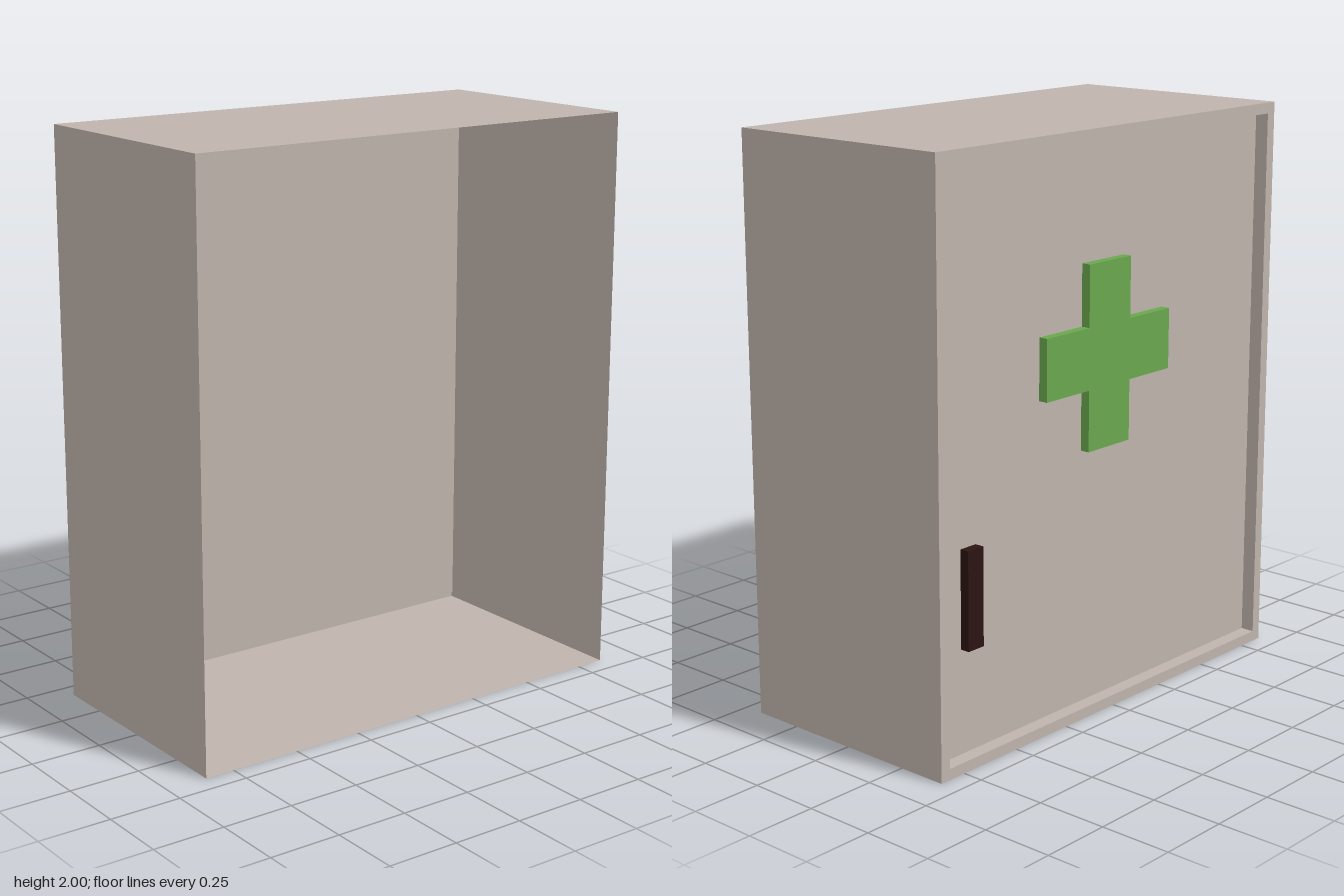
import * as THREE from 'three';

const W = 0.855, H = 2, D = 1.71;   // x, y and z size of the cabinet
const LIP = 0.038;                  // width of the rim round the door
const RECESS = 0.05;                // how far the door sits behind the rim
const FACE = -W / 2;                // x of the rim
const DOOR = FACE + RECESS;         // x of the door

export function createModel() {
  const model = new THREE.Group();
  model.name = 'medicineCabinet';

  const paint = (name, color, side = THREE.FrontSide) => {
    const m = new THREE.MeshStandardMaterial({ color, side });
    m.name = name;
    return m;
  };
  const casing = paint('warmGrey', 0xbfb4ad, THREE.DoubleSide);
  const green = paint('green', 0x6aa84f);
  const dark = paint('darkBrown', 0x2b1513);

  const add = (name, geometry, material, parent = model) => {
    const mesh = new THREE.Mesh(geometry, material);
    mesh.name = name;
    parent.add(mesh);
    return mesh;
  };

  // Turns a flat drawing (across = z, up = y) to face the door side, -x
  const faceDoorSide = (geometry, x) => geometry.rotateY(-Math.PI / 2).translate(x, 0, 0);

  // Four thin walls forming a rectangular sleeve that runs along x
  function sleeve(name, x0, x1, height, depth) {
    const group = new THREE.Group();
    group.name = name;
    const len = x1 - x0, cx = (x0 + x1) / 2;
    for (const s of [1, -1]) {
      const level = new THREE.PlaneGeometry(len, depth).rotateX(-s * Math.PI / 2);
      add(s > 0 ? 'top' : 'bottom', level.translate(cx, H / 2 + s * height / 2, 0), casing, group);
      const upright = new THREE.PlaneGeometry(len, height).rotateY(s > 0 ? 0 : Math.PI);
      add(s > 0 ? 'frontWall' : 'backWall', upright.translate(cx, H / 2, s * depth / 2), casing, group);
    }
    model.add(group);
  }

  const rectangle = (Type, w, h) => new Type([
    new THREE.Vector2(-w / 2, H / 2 - h / 2), new THREE.Vector2(w / 2, H / 2 - h / 2),
    new THREE.Vector2(w / 2, H / 2 + h / 2), new THREE.Vector2(-w / 2, H / 2 + h / 2),
  ]);

  const innerD = D - 2 * LIP, innerH = H - 2 * LIP;

  // Casing, open on the +x side
  sleeve('casing', -W / 2, W / 2, H, D);

  // Rim, the recess behind it, and the door
  const rim = rectangle(THREE.Shape, D, H);
  rim.holes.push(rectangle(THREE.Path, innerD, innerH));
  add('doorRim', faceDoorSide(new THREE.ShapeGeometry(rim), FACE), casing);
  sleeve('doorRecess', FACE, DOOR, innerH, innerD);
  add('door', faceDoorSide(new THREE.ShapeGeometry(rectangle(THREE.Shape, innerD, innerH)), DOOR), casing);

  // Raised cross
  const a = 0.105, b = 0.315, cz = -0.022, cy = 1.245;
  const cross = new THREE.Shape([
    [-a, -b], [a, -b], [a, -a], [b, -a], [b, a], [a, a],
    [a, b], [-a, b], [-a, a], [-b, a], [-b, -a], [-a, -a],
  ].map(([z, y]) => new THREE.Vector2(cz + z, cy + y)));
  const crossBar = new THREE.ExtrudeGeometry(cross, { depth: 0.033, bevelEnabled: false });
  add('cross', faceDoorSide(crossBar, DOOR - 0.002), green);

  // Handle
  const handle = new THREE.BoxGeometry(0.033, 0.335, 0.07);
  add('handle', handle.translate(DOOR - 0.0185, 0.565, -0.675), dark);

  return model;
}
